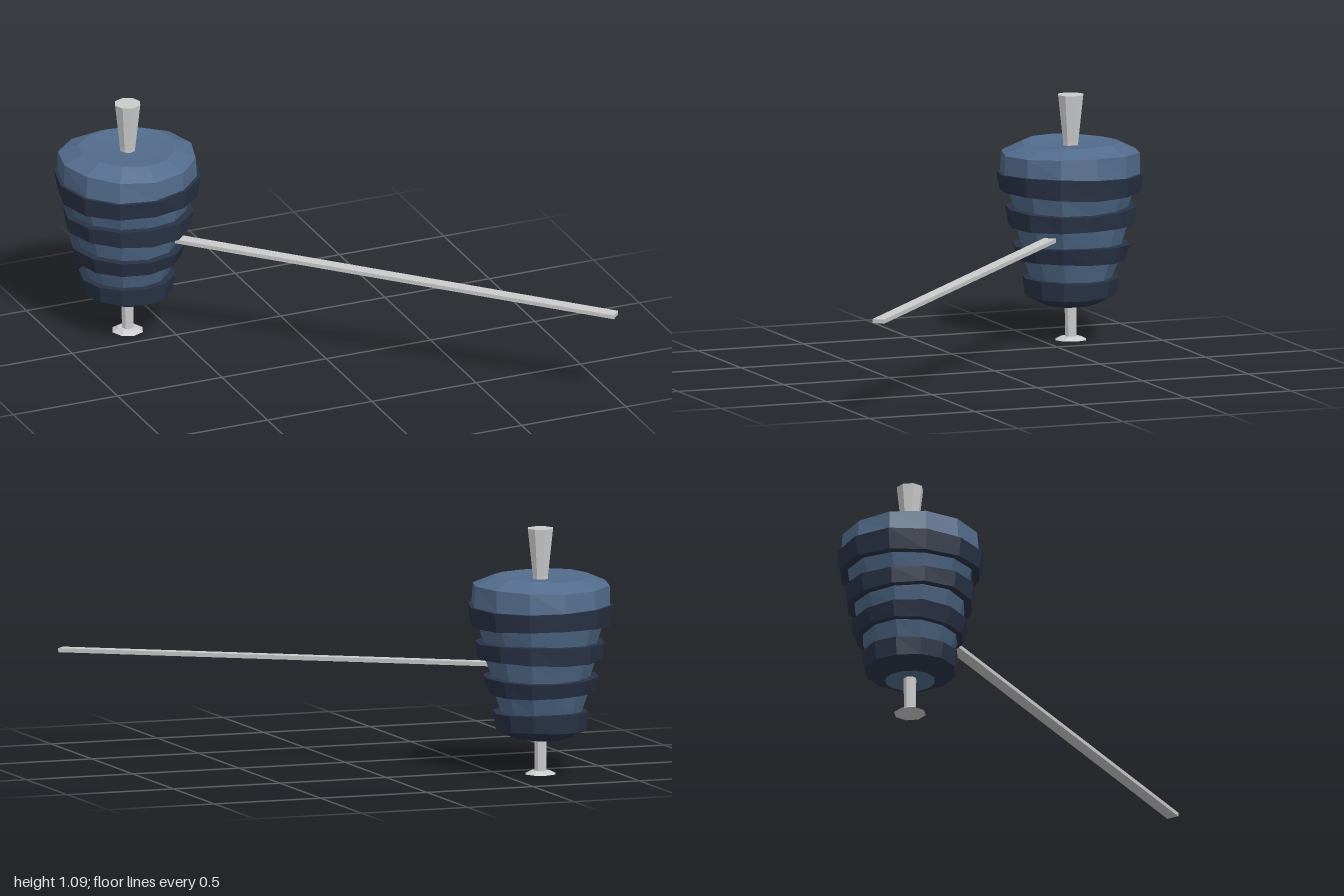
import * as THREE from 'three';

const grey = new THREE.MeshStandardMaterial({ color: 0xcccccc, flatShading: true });
const blue = new THREE.MeshStandardMaterial({ color: 0x526c8c, flatShading: true });
const navy = new THREE.MeshStandardMaterial({ color: 0x2a3347, flatShading: true });

// Faceted turned shape, made slightly uneven by a smooth rule
function turned(name, points, sides, material, wobble) {
  const geo = new THREE.LatheGeometry(points.map(([r, y]) => new THREE.Vector2(r, y)), sides);
  const pos = geo.attributes.position;
  for (let i = 0; i < pos.count; i++) {
    const x = pos.getX(i), y = pos.getY(i), z = pos.getZ(i);
    const a = Math.atan2(z, x), r = Math.hypot(x, z);
    const k = 1 + wobble * Math.sin(3 * a + 11 * y);
    pos.setXYZ(i, x * k, y + wobble * r * 1.6 * Math.sin(2 * a + 17 * y), z * k * (1 + wobble));
  }
  geo.computeVertexNormals();
  const mesh = new THREE.Mesh(geo, material);
  mesh.name = name;
  return mesh;
}

export function createModel() {
  const model = new THREE.Group();
  const pod = new THREE.Group();
  pod.name = 'pod';
  pod.position.set(-0.675, 0, -0.635);
  model.add(pod);

  // Light core with a shallow dished top
  pod.add(turned('core', [
    [0, 0.17], [0.11, 0.16], [0.17, 0.2], [0.18, 0.28], [0.21, 0.36], [0.22, 0.43],
    [0.245, 0.51], [0.253, 0.59], [0.275, 0.66], [0.308, 0.75], [0.304, 0.84],
    [0.215, 0.88], [0.12, 0.87], [0, 0.865],
  ], 12, blue, 0.012));

  // Dark flared bands: inner bottom, outer bottom, outer top, inner top
  const bands = [
    [0.11, 0.158, 0.2, 0.2, 0.212, 0.28, 0.17],
    [0.2, 0.36, 0.236, 0.362, 0.258, 0.432, 0.21],
    [0.235, 0.512, 0.278, 0.514, 0.288, 0.59, 0.245],
    [0.265, 0.662, 0.31, 0.664, 0.324, 0.75, 0.295],
  ];
  for (const [r0, y0, r1, y1, r2, y2, r3] of bands) {
    pod.add(turned('band', [[r0, y0], [r1, y1], [r2, y2], [r3, y2]], 12, navy, 0.012));
  }

  // Flared stem above, thin stem and small foot below
  pod.add(turned('topStem', [[0, 0.82], [0.033, 0.82], [0.036, 0.88], [0.06, 1.09], [0, 1.09]], 8, grey, 0));
  pod.add(turned('lowerStem', [[0, 0], [0.027, 0], [0.029, 0.2], [0, 0.2]], 8, grey, 0));
  pod.add(turned('foot', [[0, 0], [0.072, 0], [0.045, 0.014], [0, 0.018]], 8, grey, 0));

  // Long flat stick reaching out diagonally
  const from = new THREE.Vector3(-0.51, 0.475, -0.47);
  const to = new THREE.Vector3(0.975, 0.425, 0.948);
  const stick = new THREE.Mesh(new THREE.BoxGeometry(0.055, 0.018, from.distanceTo(to)), grey);
  stick.name = 'stick';
  stick.position.copy(from).lerp(to, 0.5);
  stick.lookAt(to);
  model.add(stick);

  return model;
}
